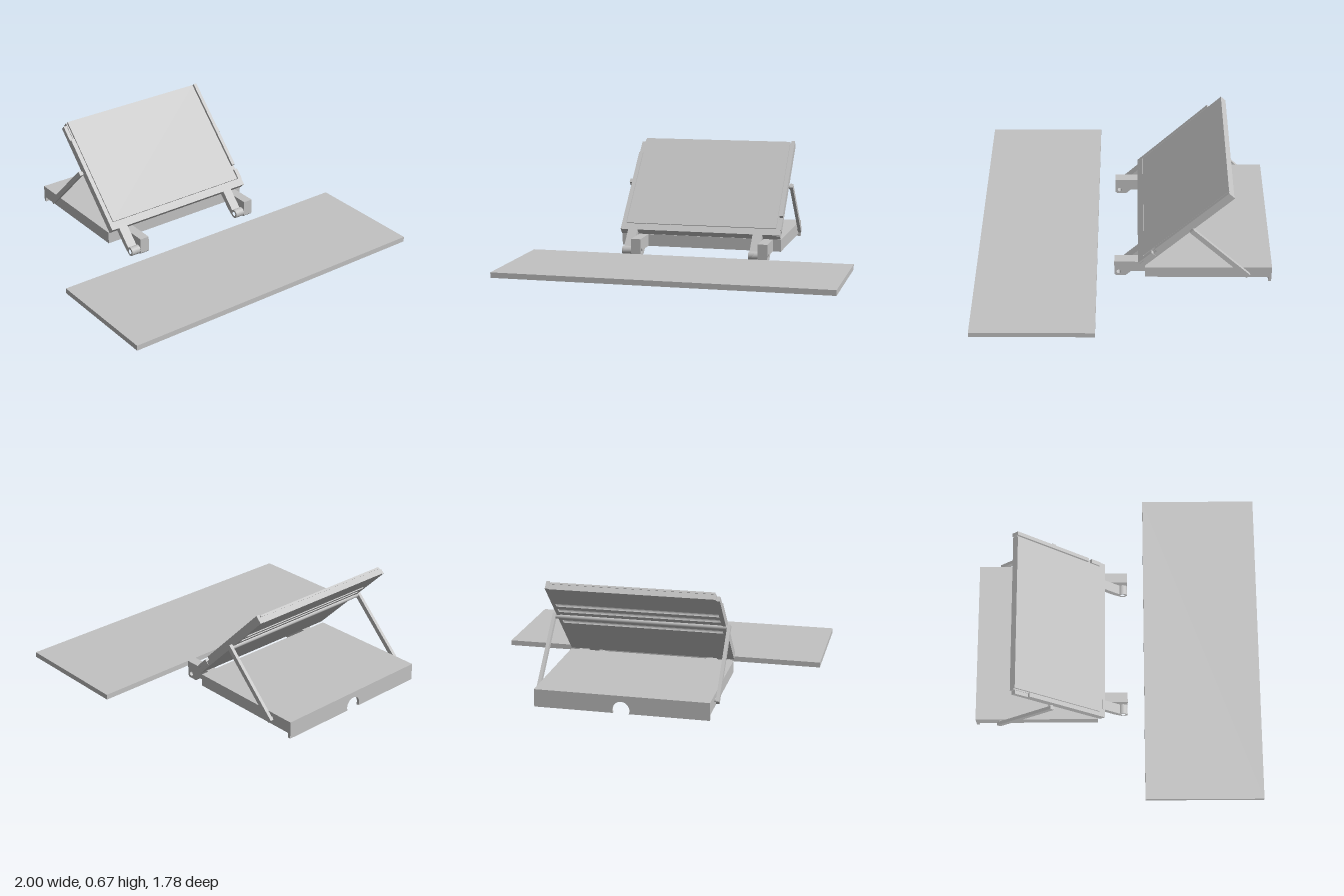
import * as THREE from 'three';

const grey = new THREE.MeshStandardMaterial({ color: 0xc2c2c2 });
grey.name = 'light grey';

function add(parent, name, geometry) {
  const mesh = new THREE.Mesh(geometry, grey);
  mesh.name = name;
  parent.add(mesh);
  return mesh;
}

// Box given by its limits on each axis
function box(parent, name, x0, x1, y0, y1, z0, z1) {
  const g = new THREE.BoxGeometry(x1 - x0, y1 - y0, z1 - z0);
  g.translate((x0 + x1) / 2, (y0 + y1) / 2, (z0 + z1) / 2);
  return add(parent, name, g);
}

// Side profile drawn in (z, y), extruded from x0 to x1
function sideProfile(parent, name, shape, x0, x1) {
  const g = new THREE.ExtrudeGeometry(shape, { depth: x1 - x0, bevelEnabled: false, curveSegments: 10 });
  g.rotateY(-Math.PI / 2);
  g.translate(x1, 0, 0);
  return add(parent, name, g);
}

const polygon = (points) => new THREE.Shape(points.map(([a, b]) => new THREE.Vector2(a, b)));

function pinHole(shape, z, y) {
  const hole = new THREE.Path();
  hole.absarc(z, y, 0.014, 0, Math.PI * 2, true);
  shape.holes.push(hole);
}

const PIN = 0.0275; // hinge axis, in both y and z
const HINGES = [-0.4, 0.4];

function buildBase() {
  const base = new THREE.Group();
  base.name = 'base';
  const t = 0.018;
  box(base, 'baseTop', -0.51, 0.51, 0.088, 0.105, -0.888, -0.13);
  box(base, 'baseFrontWall', -0.51 + t, 0.51 - t, 0.03, 0.088, -0.13 - t, -0.13);
  for (const s of [-1, 1]) {
    const a = s * 0.51, b = s * (0.51 - t);
    box(base, 'baseSideWall', Math.min(a, b), Math.max(a, b), 0.03, 0.088, -0.888 + t, -0.13);
  }

  // Back wall with a finger notch, reaching the ground
  const wall = new THREE.Shape();
  const r = 0.05, cy = 0.02, half = Math.sqrt(r * r - cy * cy);
  const a0 = Math.atan2(-cy, -half), a1 = Math.atan2(-cy, half);
  wall.moveTo(-0.51, 0);
  wall.lineTo(-half, 0);
  wall.absarc(0, cy, r, a0, a1, true);
  wall.lineTo(0.51, 0);
  wall.lineTo(0.51, 0.088);
  wall.lineTo(-0.51, 0.088);
  const g = new THREE.ExtrudeGeometry(wall, { depth: t, bevelEnabled: false, curveSegments: 20 });
  g.translate(0, 0, -0.888);
  add(base, 'baseBackWall', g);

  // Front legs that carry the hinge
  for (const x of HINGES) {
    const leg = polygon([[-0.132, 0.03], [-0.045, 0.03], [-0.015, 0], [0.045, 0],
      [0.055, 0.01], [0.055, 0.105], [-0.132, 0.105]]);
    pinHole(leg, PIN, PIN);
    sideProfile(base, 'hingeLeg', leg, x, x + 0.06);
  }
  return base;
}

// Panel is built upright on its hinge axis, front at z = 0, then leaned back
function buildPanel() {
  const panel = new THREE.Group();
  panel.name = 'tiltingPanel';

  // Back plate with support grooves across its rear
  const back = -0.046, front = -0.012;
  const plate = new THREE.Shape();
  plate.moveTo(front, 0.16);
  plate.lineTo(front, 0.895);
  plate.lineTo(back, 0.895);
  for (const u of [0.705, 0.64, 0.573, 0.505]) {
    plate.lineTo(back, u + 0.017);
    plate.absarc(back, u, 0.017, Math.PI / 2, -Math.PI / 2, true);
  }
  plate.lineTo(back, 0.16);
  sideProfile(panel, 'backPlate', plate, -0.488, 0.488);

  box(panel, 'frontSheet', -0.48, 0.48, 0.21, 0.897, front, 0);
  box(panel, 'bottomLip', -0.51, 0.51, 0.16, 0.207, front, -0.001);

  // Side rails with their stepped ends and stop
  box(panel, 'rightRail', -0.51, -0.484, 0.16, 0.78, back, 0);
  box(panel, 'rightRailEnd', -0.51, -0.488, 0.78, 0.88, back, -0.016);
  box(panel, 'leftRail', 0.488, 0.51, 0.305, 0.9, back, 0.004);
  box(panel, 'leftRailEnd', 0.488, 0.51, 0.16, 0.305, back, -0.016);
  box(panel, 'leftStop', 0.488, 0.513, 0.2, 0.275, -0.036, 0);

  // Hinge arms ending in a round knuckle
  for (const x of HINGES) {
    const arm = new THREE.Shape();
    arm.moveTo(0, 0.18);
    arm.lineTo(0, PIN);
    arm.absarc(0, 0, PIN, Math.PI / 2, -Math.PI, true);
    arm.lineTo(-0.035, 0.05);
    arm.lineTo(-0.035, 0.18);
    pinHole(arm, 0, 0);
    sideProfile(panel, 'hingeArm', arm, x - 0.06, x);
  }

  panel.position.set(0, PIN, PIN);
  panel.rotation.x = -Math.PI / 4;
  return panel;
}

// Folding support: two side arms and a cross bar resting in a groove
function buildSupport() {
  const support = new THREE.Group();
  support.name = 'support';
  const top = [-0.408, 0.396], foot = [-0.737, 0.069];
  const length = Math.hypot(top[0] - foot[0], top[1] - foot[1]);
  const crossBar = new THREE.CylinderGeometry(0.014, 0.014, 1.04, 16).rotateZ(Math.PI / 2);
  add(support, 'crossBar', crossBar).position.set(0, top[1], top[0]);
  for (const s of [-1, 1]) {
    const arm = add(support, 'supportArm', new THREE.BoxGeometry(0.02, length + 0.03, 0.03));
    arm.position.set(s * 0.527, (top[1] + foot[1]) / 2, (top[0] + foot[0]) / 2);
    arm.rotation.x = Math.PI / 4;
    const pin = new THREE.CylinderGeometry(0.011, 0.011, 0.03, 16).rotateZ(Math.PI / 2);
    add(support, 'supportPin', pin).position.set(s * 0.51, foot[1], foot[0]);
  }
  return support;
}

export function createModel() {
  const model = new THREE.Group();
  model.name = 'tiltingStand';
  box(model, 'slab', -1, 1, 0, 0.032, 0.16, 0.888);
  model.add(buildBase(), buildPanel(), buildSupport());
  return model;
}
